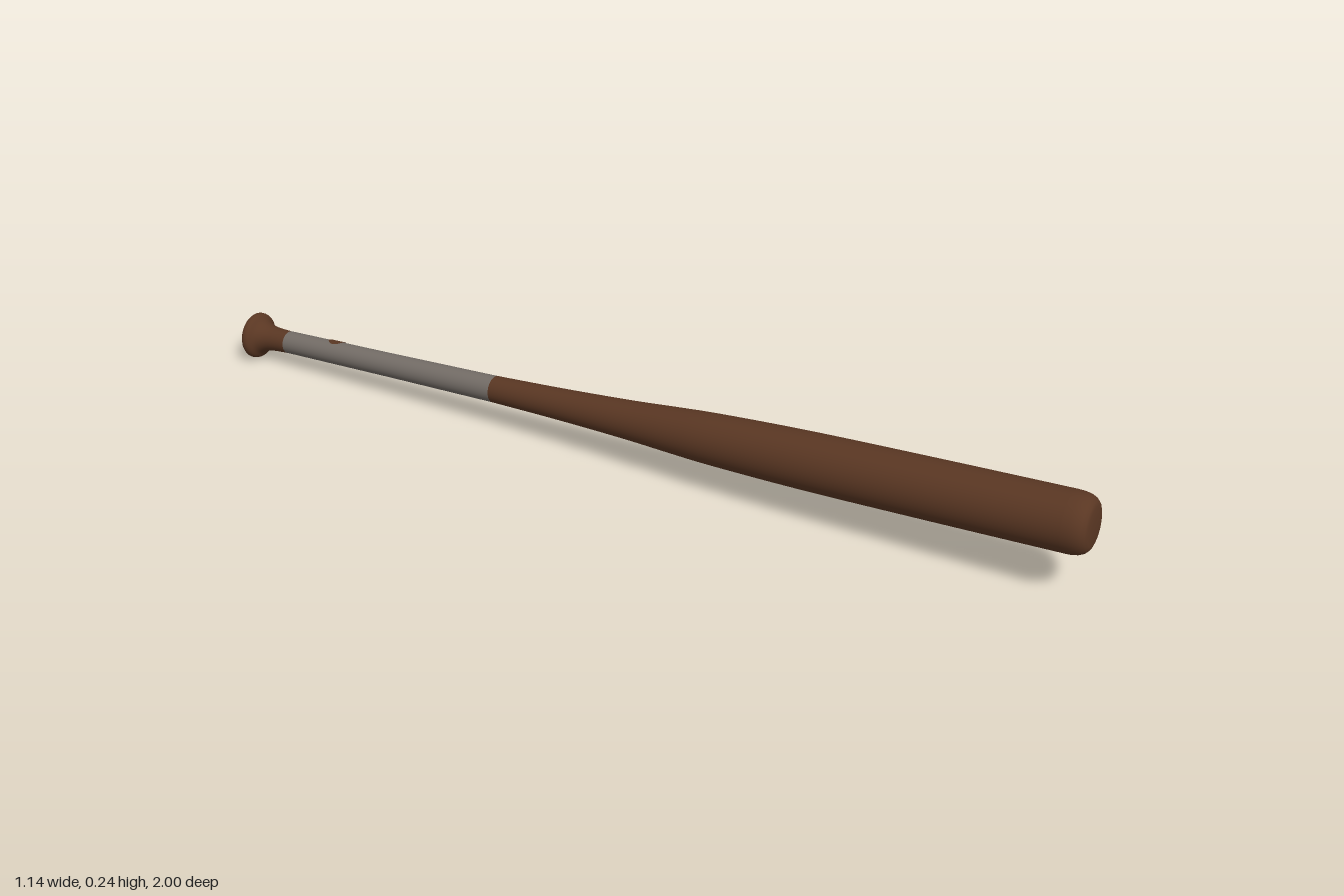
import * as THREE from 'three';

const SIDES = 40;

// Turned section: list of [radius, distance along the axis from the knob]
function turned(name, points, material) {
  const profile = points.map(([r, s]) => new THREE.Vector2(r, s));
  const mesh = new THREE.Mesh(new THREE.LatheGeometry(profile, SIDES), material);
  mesh.name = name;
  return mesh;
}

// Smooth a coarse profile with a spline
function smooth(points, n) {
  const curve = new THREE.SplineCurve(points.map(([r, s]) => new THREE.Vector2(r, s)));
  return curve.getPoints(n).map((p) => [p.x, p.y]);
}

export function createModel() {
  const wood = new THREE.MeshStandardMaterial({ color: 0x5a3723 });
  wood.name = 'darkWood';
  const tape = new THREE.MeshStandardMaterial({ color: 0x746d67 });
  tape.name = 'greyTape';
  const spotWood = wood.clone();
  spotWood.side = THREE.DoubleSide;

  const model = new THREE.Group();
  model.name = 'bat';
  const bat = new THREE.Group();
  bat.name = 'turnedBody';
  model.add(bat);

  // Knob: flat end face, rounded rim, flare into the handle
  bat.add(turned('knobFace', [[0, -0.008], [0.05, -0.008]], wood));
  bat.add(turned('knob', smooth([
    [0.05, -0.008], [0.0565, -0.002], [0.0575, 0.006], [0.054, 0.014],
    [0.042, 0.025], [0.034, 0.042], [0.030, 0.065], [0.028, 0.106],
  ], 28), wood));

  // Taped grip
  bat.add(turned('grip', [[0.028, 0.106], [0.0285, 0.2], [0.0295, 0.42], [0.0322, 0.736]], tape));

  // Barrel: swells from the grip, then runs nearly straight to a rounded end
  bat.add(turned('barrel', smooth([
    [0.0322, 0.736], [0.0375, 0.92], [0.0455, 1.105], [0.0535, 1.23], [0.0595, 1.34],
    [0.0655, 1.56], [0.0675, 1.85], [0.068, 2.16],
  ], 40), wood));
  bat.add(turned('barrelEnd', [
    [0.068, 2.16], [0.0675, 2.175], [0.065, 2.189], [0.060, 2.2],
    [0.053, 2.207], [0.044, 2.2105], [0.02, 2.212], [0, 2.212],
  ], wood));

  // Lay the axis from knob to tip
  const start = new THREE.Vector3(-0.523, 0.06, -0.973);
  const axis = new THREE.Vector3(1.041, 0.119, 1.947).normalize();
  bat.quaternion.setFromUnitVectors(new THREE.Vector3(0, 1, 0), axis);
  bat.position.copy(start);

  // Bare spot on the upper side of the grip: a disc bent around the handle
  const facing = new THREE.Vector3(0.33, 0.93, -0.17)
    .applyQuaternion(bat.quaternion.clone().invert());
  const middle = Math.atan2(facing.z, facing.x);
  const spot = new THREE.RingGeometry(0, 0.022, 20, 4);
  const pos = spot.attributes.position;
  for (let i = 0; i < pos.count; i++) {
    const r = 0.0302;
    const a = middle - pos.getX(i) / r;
    pos.setXYZ(i, r * Math.cos(a), 0.255 + pos.getY(i), r * Math.sin(a));
  }
  spot.computeVertexNormals();
  const spotMesh = new THREE.Mesh(spot, spotWood);
  spotMesh.name = 'bareSpot';
  bat.add(spotMesh);

  return model;
}
